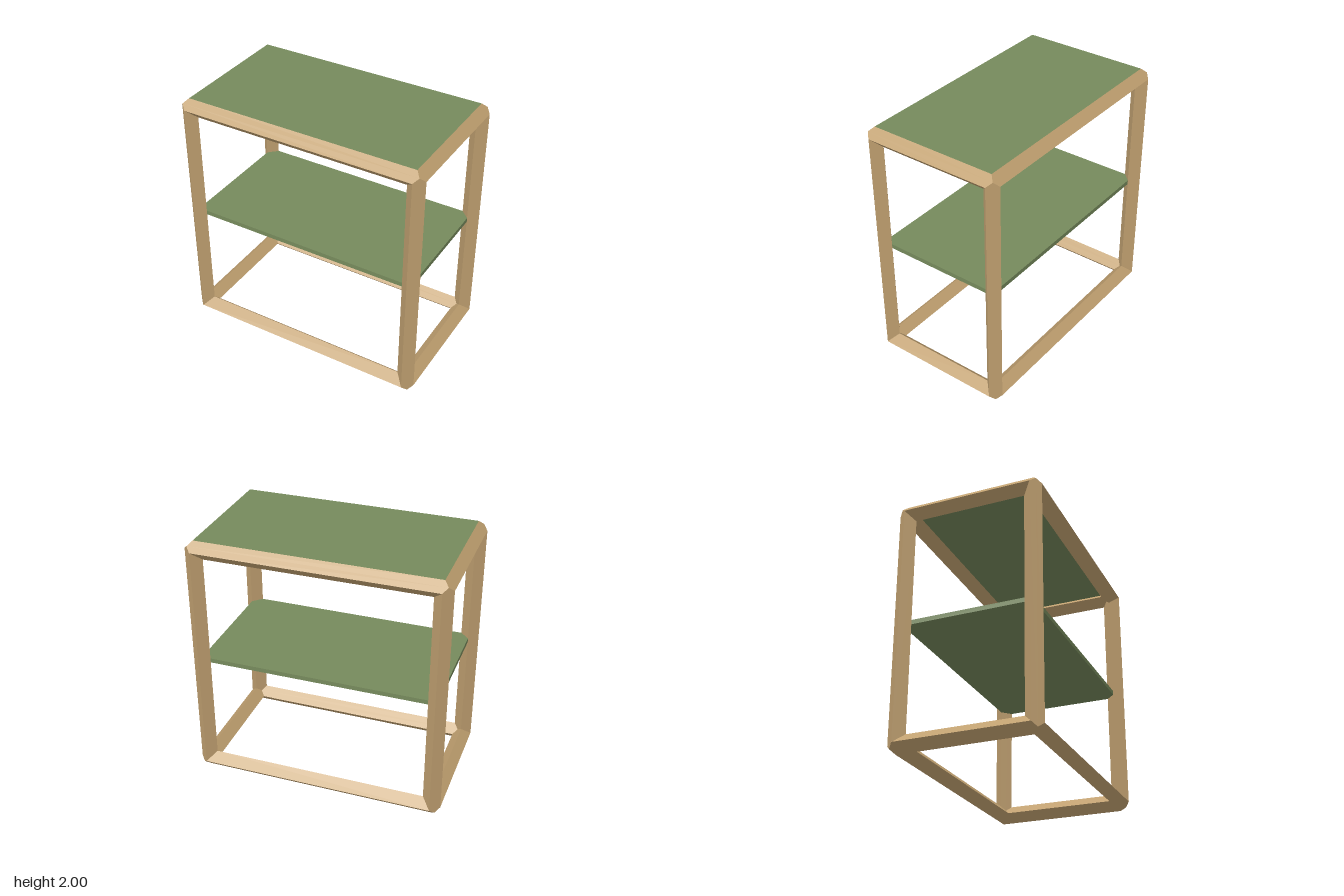
import * as THREE from 'three';

const R = 0.07;                        // half diagonal of the diamond bar section
const HALF = [0.93, 0.93, 0.51];       // bar centre lines, half size along x, y, z
const MID_Y = 1;

const wood = new THREE.MeshStandardMaterial({ color: 0xc0a070, flatShading: true });
const green = new THREE.MeshStandardMaterial({ color: 0x768a5c });

// Diamond section as [u, v, end offset], in units of R; u and v point out of the frame.
// The end offsets give the three-way mitre at each corner.
const SECTION = [
  [1, 0, 0], [0.5, 0.5, 0.5], [0, 1, 0],
  [-1, 0, -1], [-0.5, -0.5, -0.5], [0, -1, -1],
];

// Mitred bar along axis a (0 = x, 1 = y, 2 = z) on the edge picked by the signs su, sv
function bar(a, su, sv) {
  const b = (a + 1) % 3, c = (a + 2) % 3;
  const positions = [], index = [];
  for (const [u, v, e] of SECTION) {
    for (const end of [-1, 1]) {
      const p = [0, 0, 0];
      p[a] = end * (HALF[a] + e * R);
      p[b] = su * (HALF[b] + u * R);
      p[c] = sv * (HALF[c] + v * R);
      positions.push(...p);
    }
  }
  const n = SECTION.length;
  for (let i = 0; i < n; i++) {
    const i0 = 2 * i, j0 = 2 * ((i + 1) % n);
    const quad = [i0, j0, j0 + 1, i0, j0 + 1, i0 + 1];
    index.push(...(su * sv > 0 ? quad : quad.reverse()));
  }
  const indexed = new THREE.BufferGeometry();
  indexed.setAttribute('position', new THREE.Float32BufferAttribute(positions, 3));
  indexed.setIndex(index);
  const geometry = indexed.toNonIndexed();
  geometry.computeVertexNormals();
  return new THREE.Mesh(geometry, wood);
}

// Thin board reaching the bar centre lines, given by its top height
function board(name, top) {
  const t = 0.035;
  const mesh = new THREE.Mesh(new THREE.BoxGeometry(2 * HALF[0], t, 2 * HALF[2]), green);
  mesh.position.y = top - t / 2;
  mesh.name = name;
  return mesh;
}

export function createModel() {
  const model = new THREE.Group();
  model.name = 'shelfTable';

  // Twelve bars along the edges of the frame
  const frame = new THREE.Group();
  frame.name = 'frame';
  frame.position.y = MID_Y;
  ['longRail', 'post', 'sideRail'].forEach((name, axis) => {
    for (const su of [-1, 1]) {
      for (const sv of [-1, 1]) {
        const mesh = bar(axis, su, sv);
        mesh.name = name;
        frame.add(mesh);
      }
    }
  });
  model.add(frame);

  // Top panel and middle shelf
  model.add(board('topPanel', 2), board('middleShelf', 1.02));
  return model;
}
